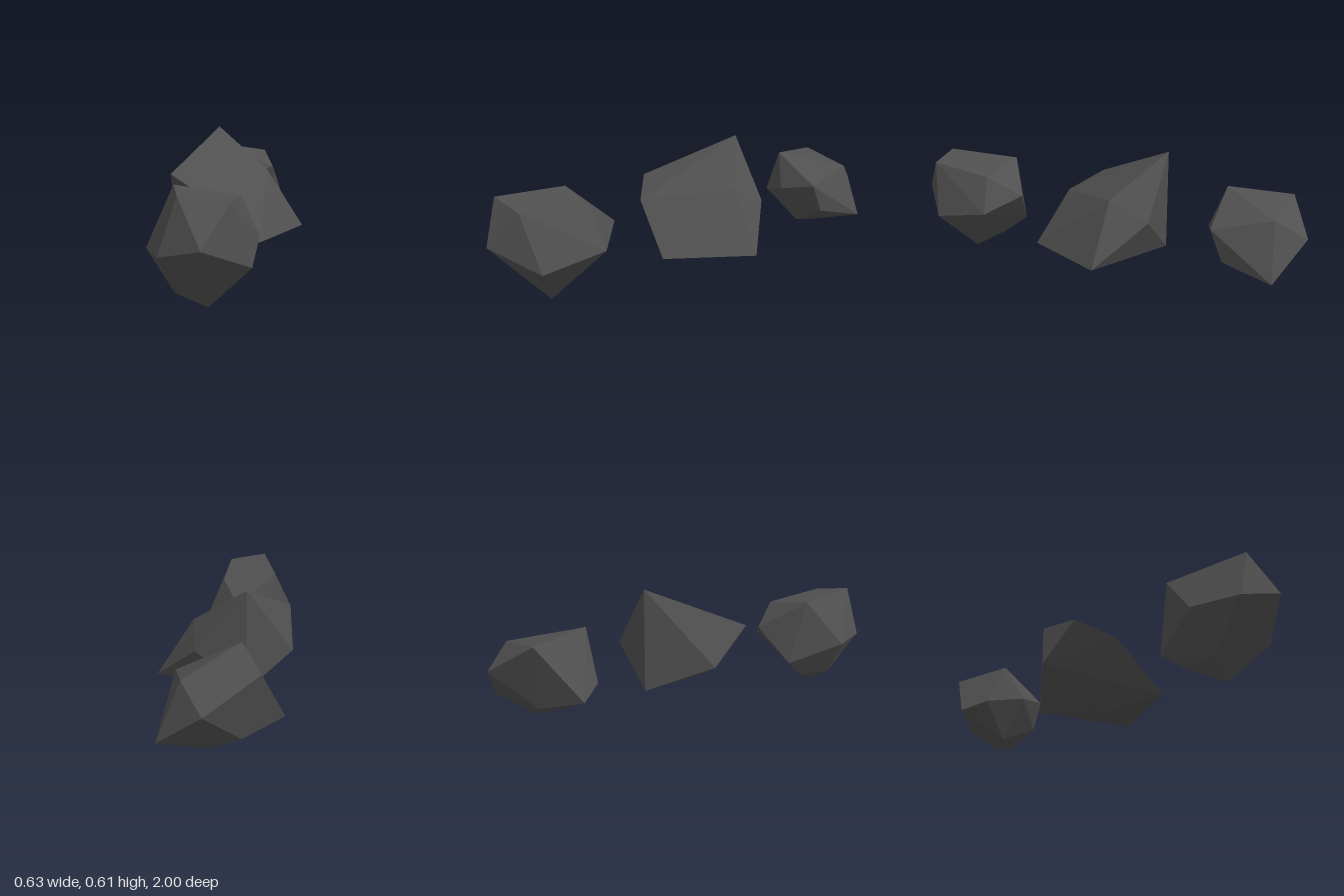
import * as THREE from 'three';
import { ConvexGeometry } from 'three/addons/geometries/ConvexGeometry.js';

// Corner points of each faceted boulder
const rocks = {
  frontRock: [
    [-0.125, 0.485, 0.92], [0.065, 0.457, 0.885], [0.075, 0.42, 0.565], [-0.2, 0.46, 0.565],
    [-0.03, 0.3, 1.0], [-0.2, 0.255, 0.93], [-0.28, 0.24, 0.74], [0.14, 0.197, 0.83],
    [0.15, 0.25, 0.54], [-0.01, 0.32, 0.417], [-0.165, 0.155, 0.49],
    [-0.165, 0.068, 0.76], [-0.13, 0.07, 0.6], [-0.04, 0, 0.725],
  ],
  middleRock: [
    [-0.115, 0.605, -0.32], [0.14, 0.415, -0.14], [-0.295, 0.425, 0.105], [-0.135, 0.35, 0.215],
    [0.11, 0.325, -0.32], [-0.315, 0.26, -0.08], [0.315, 0.14, -0.14], [0.13, 0.145, 0.25],
    [-0.115, 0.145, -0.32], [0.03, 0.107, -0.01],
  ],
  backRock: [
    [-0.12, 0.478, -0.607], [-0.215, 0.452, -0.885], [0.085, 0.414, -0.875], [0.145, 0.355, -0.62],
    [-0.01, 0.323, -1.0], [-0.03, 0.313, -0.556], [-0.22, 0.26, -0.61], [-0.3, 0.215, -0.715],
    [0.145, 0.217, -0.676], [0.18, 0.168, -0.905], [-0.14, 0.17, -0.84],
    [-0.02, 0.107, -0.805], [-0.05, 0.115, -0.685],
  ],
};

export function createModel() {
  const group = new THREE.Group();
  group.name = 'rocks';
  const stone = new THREE.MeshStandardMaterial({ color: 0x505050, flatShading: true });

  // Each boulder is the convex hull of its corners
  for (const [name, corners] of Object.entries(rocks)) {
    const points = corners.map((p) => new THREE.Vector3(...p));
    const rock = new THREE.Mesh(new ConvexGeometry(points), stone);
    rock.name = name;
    group.add(rock);
  }
  return group;
}
